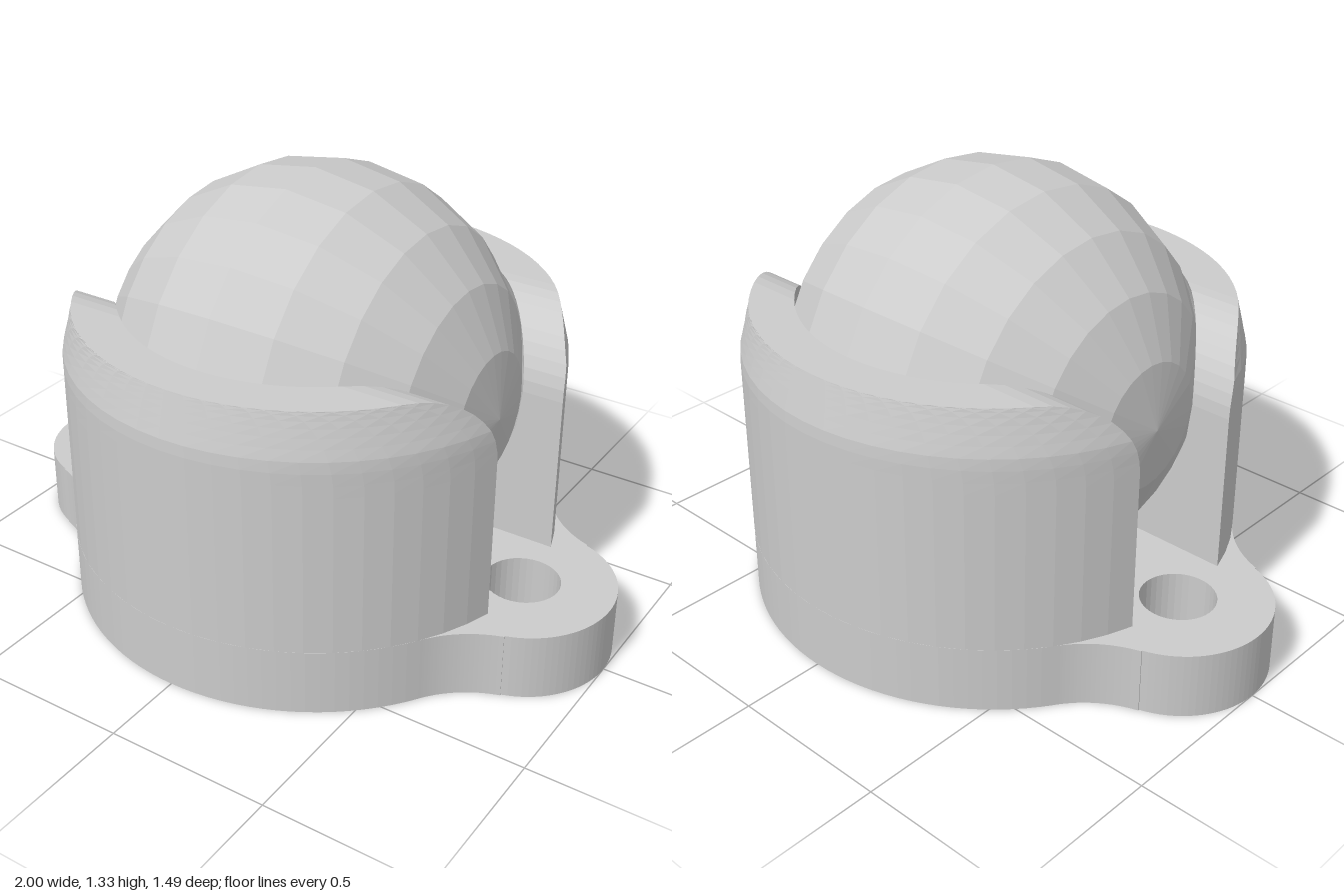
import * as THREE from 'three';

const BALL_R = 0.62, BALL_Y = 0.71, BODY_R = 0.745, PLATE_H = 0.205, TOP = 0.94;

// Flange outline: round body, two ears, concave fillets between them
function createPlate() {
  const earX = 0.72, earR = 0.28, fillet = 0.35, fx = 0.913, fz = 0.604;
  const earA = Math.atan2(fz, fx - earX), bodyA = Math.atan2(fz, fx), PI = Math.PI;
  const s = new THREE.Shape();
  s.absarc(earX, 0, earR, -earA, earA, false);
  s.absarc(fx, fz, fillet, PI + earA, PI + bodyA, true);
  s.absarc(0, 0, BODY_R, bodyA, PI - bodyA, false);
  s.absarc(-fx, fz, fillet, -bodyA, -earA, true);
  s.absarc(-earX, 0, earR, PI - earA, PI + earA, false);
  s.absarc(-fx, -fz, fillet, earA, bodyA, true);
  s.absarc(0, 0, BODY_R, PI + bodyA, 2 * PI - bodyA, false);
  s.absarc(fx, -fz, fillet, PI - bodyA, PI - earA, true);
  // centre opening and two screw holes
  for (const [x, r] of [[0, 0.37], [0.725, 0.112], [-0.725, 0.112]]) {
    s.holes.push(new THREE.Path().absarc(x, 0, r, 0, 2 * PI, true));
  }
  const g = new THREE.ExtrudeGeometry(s, { depth: PLATE_H, bevelEnabled: false, curveSegments: 18 });
  return g.rotateX(-PI / 2);
}

// Half of the cup: lofted crescents between the outer wall and the ball socket,
// cut off at z = slot(y), with a rounded shoulder beside the slot
function createCupHalf() {
  const N = 24, M = 2 * (N + 1), pos = [], idx = [];
  const levels = [[PLATE_H, 0.2], [0.32, 0.2], [0.45, 0.2], [0.58, 0.2]];
  for (let i = 0; i <= 10; i++) {
    const t = (i / 10) * Math.PI / 2;
    levels.push([0.7 + 0.24 * Math.sin(t), 0.44 - 0.24 * Math.cos(t)]);
  }
  const arc = (r, y, slot, k) => {
    const a0 = Math.asin(slot / r), a = a0 + (Math.PI - 2 * a0) * k / N;
    pos.push(r * Math.cos(a), y, r * Math.sin(a));
  };
  for (const [y, slot] of levels) {
    const outer = BODY_R - 0.035 * Math.max(0, (y - 0.8) / (TOP - 0.8));
    const inner = Math.max(0.37, Math.sqrt(0.623 ** 2 - (y - BALL_Y) ** 2));
    for (let k = 0; k <= N; k++) arc(outer, y, slot, k);
    for (let k = N; k >= 0; k--) arc(inner, y, slot, k);
  }
  for (let j = 0; j < levels.length - 1; j++) {
    for (let i = 0; i < M; i++) {
      const a = j * M + i, b = j * M + (i + 1) % M;
      idx.push(a, a + M, b, b, a + M, b + M);
    }
  }
  // flat rim
  const top = (levels.length - 1) * M;
  for (let k = 0; k < N; k++) {
    const o = top + k, i = top + M - 1 - k;
    idx.push(o, i, o + 1, o + 1, i, i - 1);
  }
  const g = new THREE.BufferGeometry();
  g.setAttribute('position', new THREE.Float32BufferAttribute(pos, 3));
  g.setIndex(idx);
  g.computeVertexNormals();
  return g;
}

export function createModel() {
  const group = new THREE.Group();
  group.name = 'ballCaster';
  const mat = new THREE.MeshStandardMaterial({ color: 0xcccccc, flatShading: true });
  const add = (name, geometry) => {
    const mesh = new THREE.Mesh(geometry, mat);
    mesh.name = name;
    group.add(mesh);
    return mesh;
  };

  add('mountingPlate', createPlate());
  const cup = createCupHalf();
  add('frontCupWall', cup);
  add('backCupWall', cup).rotation.y = Math.PI;

  // faceted ball with its poles facing the slots
  const ball = new THREE.SphereGeometry(BALL_R, 26, 10).rotateZ(Math.PI / 2);
  add('ball', ball).position.y = BALL_Y;
  return group;
}
